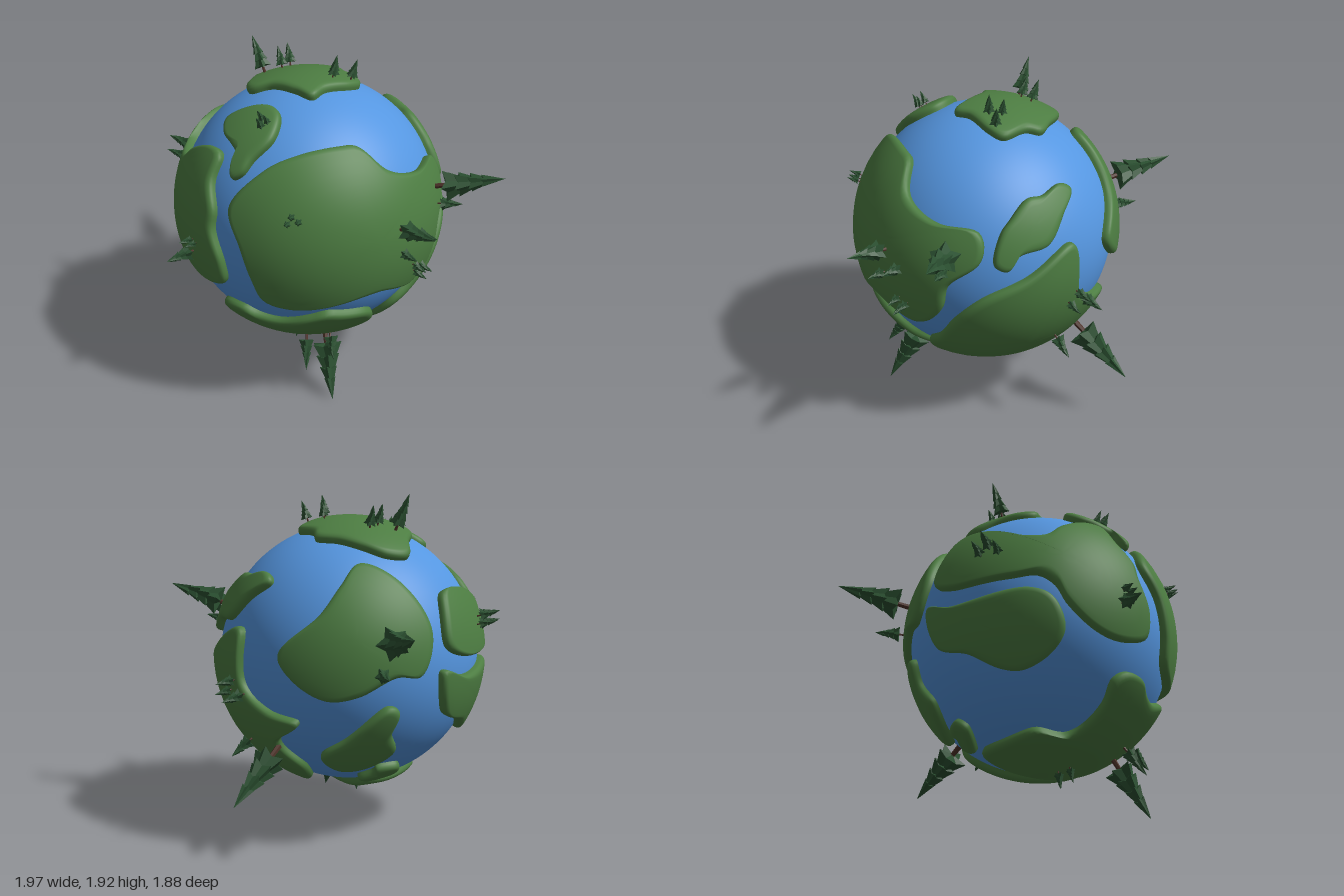
import * as THREE from 'three';

const CENTRE = [-0.125, 1.015, 0.045], SEA = 0.74, LAND = 0.787;

// unit direction from a point (a right, b up) on the globe's disc seen from azimuth/elevation
const disc = (azDeg, elDeg) => (...ab) => {
  const az = azDeg * Math.PI / 180, el = elDeg * Math.PI / 180;
  const s = Math.sin(az), c = Math.cos(az), se = Math.sin(el), ce = Math.cos(el);
  const out = new THREE.Vector3(s * ce, se, c * ce);
  const u = new THREE.Vector3(c, 0, -s), v = new THREE.Vector3(-s * se, ce, -c * se);
  const pts = [];
  for (let i = 0; i < ab.length; i += 2) {
    const a = ab[i], b = ab[i + 1], d = Math.sqrt(Math.max(0, 1 - a * a - b * b));
    pts.push(u.clone().multiplyScalar(a).addScaledVector(v, b).addScaledVector(out, d).normalize());
  }
  return pts;
};
const F = disc(0, 0), R = disc(90, 0), T = disc(0, 90), BL = disc(210, 30), BR = disc(135, -25);

// coastlines of each landmass
const LANDS = {
  rightContinent: [
    ...F(-.05, .37, .14, .64, .32, .74, .51, .77),
    ...R(-.29, .755, -.19, .58, .085, .475, .38, .45, .44, .36, .43, .23, .23, .04, .18, -.16,
      .05, -.32, -.08, -.375, -.24, -.34, -.405, -.295, -.57, -.31),
    ...F(.73, -.32, .41, -.37, .22, -.31, .16, -.13, .08, .11)],
  leftContinent: [
    ...F(-.36, .65, -.25, .64, -.25, .48, -.17, .3, -.17, .18, -.08, -.06, -.08, -.245, -.17, -.3,
      -.34, -.33, -.51, -.285, -.68, -.14, -.75, 0, -.82, .075, -.92, .06),
    ...BL(.84, -.21, .71, -.2, .67, .05, .67, .2, .8, .3),
    ...F(-.84, .44, -.72, .43, -.58, .55)],
  lowerLeftIsland: [
    ...BL(.68, -.37, .84, -.33),
    ...F(-.85, -.03, -.75, -.1, -.66, -.31, -.67, -.47, -.73, -.57, -.8, -.55),
    ...BL(.8, -.58, .69, -.6)],
  backLeftContinent: BL(-.47, -.33, -.18, -.09, -.04, .12, .09, .31, .36, .2, .6, -.13, .53, -.44,
    .36, -.48, .09, -.62, -.13, -.64, -.36, -.51),
  backRightContinent: BR(-.59, -.36, -.55, -.15, -.48, .12, -.3, .36, .01, .51, .39, .62, .45, .25,
    .61, .04, .76, -.1, .54, -.22, .48, -.51, .19, -.7, -.17, -.73, -.44, -.61),
  topContinent: T(-.61, .19, -.52, .34, -.35, .41, -.18, .44, 0, .46, .08, .38, .27, .29, .27, .16,
    .18, -.05, .16, -.18, 0, -.18, -.21, -.17, -.36, -.22, -.45, -.15, -.52, .02),
  frontIsland: F(-.37, .79, -.24, .88, -.07, .925, .05, .905, .11, .8, .03, .67, -.01, .585,
    -.08, .54, -.115, .6, -.11, .67, -.2, .71, -.32, .735),
  bottomContinent: [
    ...F(-.24, -.88, -.2, -.71, -.24, -.57, -.17, -.5, 0, -.49, .1, -.54, .27, -.56, .48, -.49,
      .6, -.44, .67, -.46),
    ...R(-.37, -.52, -.24, -.65, -.2, -.74),
    ...BR(-.3, -.75, .05, -.86, .43, -.84),
    ...F(-.43, -.87)],
  backTopIsland: [
    ...T(.17, .78, .23, .72, .4, .67, .5, .6, .66, .55),
    ...R(.52, .43, .52, .22, .6, .17),
    ...BR(-.04, .65, .19, .675, .34, .78)],
  lowerBackIsland: [
    ...BR(.62, -.58, .68, -.42, .85, -.34),
    ...BL(.3, -.66, .38, -.67, .33, -.79),
    ...BR(.8, -.59, .66, -.64)],
  bottomIslet: BR(.47, -.8, .52, -.75, .62, -.73, .66, -.7, .64, -.76, .56, -.82),
};

// tree tips, measured from the globe's centre
const TREES = [
  // right side
  [1.105, .345, -.27], [.995, .205, .295], [.87, .015, .26], [.915, .1, .13], [.865, -.125, .14],
  [.855, -.185, .115], [.87, -.15, .08], [.9, .16, -.19],
  // front
  [.36, .34, .71], [.4, .315, .7], [.345, .3, .73], [-.345, -.075, .89], [-.31, .02, .82],
  [-.27, .01, .82], [0, .73, .49], [-.02, .75, .45], [.02, .735, .45],
  // top
  [-.415, .92, -.05], [-.27, .86, -.19], [-.28, .865, -.11], [.09, .875, -.16], [.13, .9, -.09], [.21, .87, -.18],
  // back
  [.105, -.705, -.99], [.32, -.52, -.72], [.26, -.175, -.88], [.33, -.09, -.84], [.37, -.16, -.8],
  [-.865, .265, -.795], [-.66, .02, -.68],
  // bottom
  [.445, -1, .435], [.305, -.8, .5], [.45, -.715, .43], [.02, -.885, .125], [.03, -.86, .2],
  // left
  [-.86, .23, .17], [-.82, .22, .28], [-.85, .28, .22],
];

// raised patch with a rounded shore, filled in rings from the coast to its middle
function landGeometry(coast) {
  const mid = coast.reduce((m, p) => m.add(p), new THREE.Vector3()).normalize();
  const e1 = new THREE.Vector3(0, 1, 0).cross(mid);
  if (e1.length() < 0.1) e1.set(1, 0, 0).addScaledVector(mid, -mid.x);
  e1.normalize();
  const e2 = mid.clone().cross(e1);
  const flat = coast.map((p) => {
    const x = p.dot(e1), y = p.dot(e2), k = Math.acos(p.dot(mid)) / Math.hypot(x, y);
    return new THREE.Vector3(x * k, y * k, 0);
  });
  if (THREE.ShapeUtils.area(flat) < 0) flat.reverse();
  const N = 128;
  const outline = new THREE.CatmullRomCurve3(flat, true).getSpacedPoints(N).slice(0, N);
  const rim = [[0, SEA - .03], [0, SEA + .015], [.006, SEA + .03], [.018, SEA + .04], [.036, LAND - .002], [.055, LAND]];
  const rings = rim.map(([inset, r]) => [inset, 1, r]);
  for (let k = 7; k >= 0; k--) rings.push([.055, k / 8, LAND]);

  const pos = [], idx = [];
  rings.forEach(([inset, f, r], j) => {
    outline.forEach((p, i) => {
      const len = p.length(), ang = f * Math.max(len * .35, len - inset);
      const side = e1.clone().multiplyScalar(p.x / len).addScaledVector(e2, p.y / len);
      const q = mid.clone().multiplyScalar(Math.cos(ang)).addScaledVector(side, Math.sin(ang)).multiplyScalar(r);
      pos.push(q.x, q.y, q.z);
      if (j === 0) return;
      const n = (i + 1) % N, a = (j - 1) * N + i, b = (j - 1) * N + n, c = j * N + i, d = j * N + n;
      idx.push(a, b, d);
      if (f > 0) idx.push(a, d, c);
    });
  });
  const g = new THREE.BufferGeometry();
  g.setAttribute('position', new THREE.Float32BufferAttribute(pos, 3));
  g.setIndex(idx);
  g.computeVertexNormals();
  // the innermost ring is a single point, so its normal is the middle direction
  const nor = g.attributes.normal;
  for (let i = nor.count - N; i < nor.count; i++) nor.setXYZ(i, mid.x, mid.y, mid.z);
  return g;
}

// five-pointed cone: every other corner of the hem is drawn in
function tierGeometry() {
  const g = new THREE.ConeGeometry(1, 1, 10, 1).translate(0, 0.5, 0);
  const p = g.attributes.position;
  for (let i = 0; i < p.count; i++) {
    const x = p.getX(i), z = p.getZ(i);
    if (p.getY(i) > 0.5 || Math.hypot(x, z) < 0.5) continue;
    const odd = Math.round(Math.atan2(x, z) / (Math.PI / 5)) & 1;
    p.setXYZ(i, x * (odd ? .62 : 1), odd ? .1 : 0, z * (odd ? .62 : 1));
  }
  return g;
}

export function createModel() {
  const mat = (name, color, flatShading = false) => {
    const m = new THREE.MeshStandardMaterial({ color, flatShading });
    m.name = name;
    return m;
  };
  const water = mat('ocean blue', 0x5596e0), grass = mat('grass green', 0x4d7d42);
  const leaf = mat('pine green', 0x2b5031, true), bark = mat('bark brown', 0x50332a, true);
  const model = new THREE.Group();
  model.name = 'planet';
  const globe = new THREE.Group();
  globe.name = 'globe';
  globe.position.set(...CENTRE);
  model.add(globe);

  const add = (parent, name, geometry, material) => {
    const m = new THREE.Mesh(geometry, material);
    m.name = name;
    parent.add(m);
    return m;
  };

  add(globe, 'ocean', new THREE.SphereGeometry(SEA, 96, 64), water);
  for (const [name, coast] of Object.entries(LANDS)) add(globe, name, landGeometry(coast), grass);

  // pines: a trunk and four overlapping tiers, [hem height, tip height, radius] per unit of height
  const tier = tierGeometry(), trunk = new THREE.CylinderGeometry(.03, .04, .3, 6).translate(0, .1, 0);
  const TIERS = [[.15, .62, .23], [.32, .76, .18], [.5, .88, .135], [.67, 1, .09]];
  TREES.forEach((tip, n) => {
    const dir = new THREE.Vector3(...tip), h = dir.length() - LAND;
    const tree = new THREE.Group();
    tree.name = 'pineTree';
    dir.normalize();
    tree.position.copy(dir).multiplyScalar(LAND);
    tree.quaternion.setFromUnitVectors(new THREE.Vector3(0, 1, 0), dir);
    tree.scale.setScalar(h);
    add(tree, 'trunk', trunk, bark);
    const girth = h < .2 ? 1.25 : 1;
    TIERS.forEach(([y0, y1, r], k) => {
      const m = add(tree, 'foliage', tier, leaf);
      m.position.y = y0;
      m.scale.set(r * girth, y1 - y0, r * girth);
      m.rotation.y = n * 1.3 + k * .25;
    });
    globe.add(tree);
  });
  return model;
}
